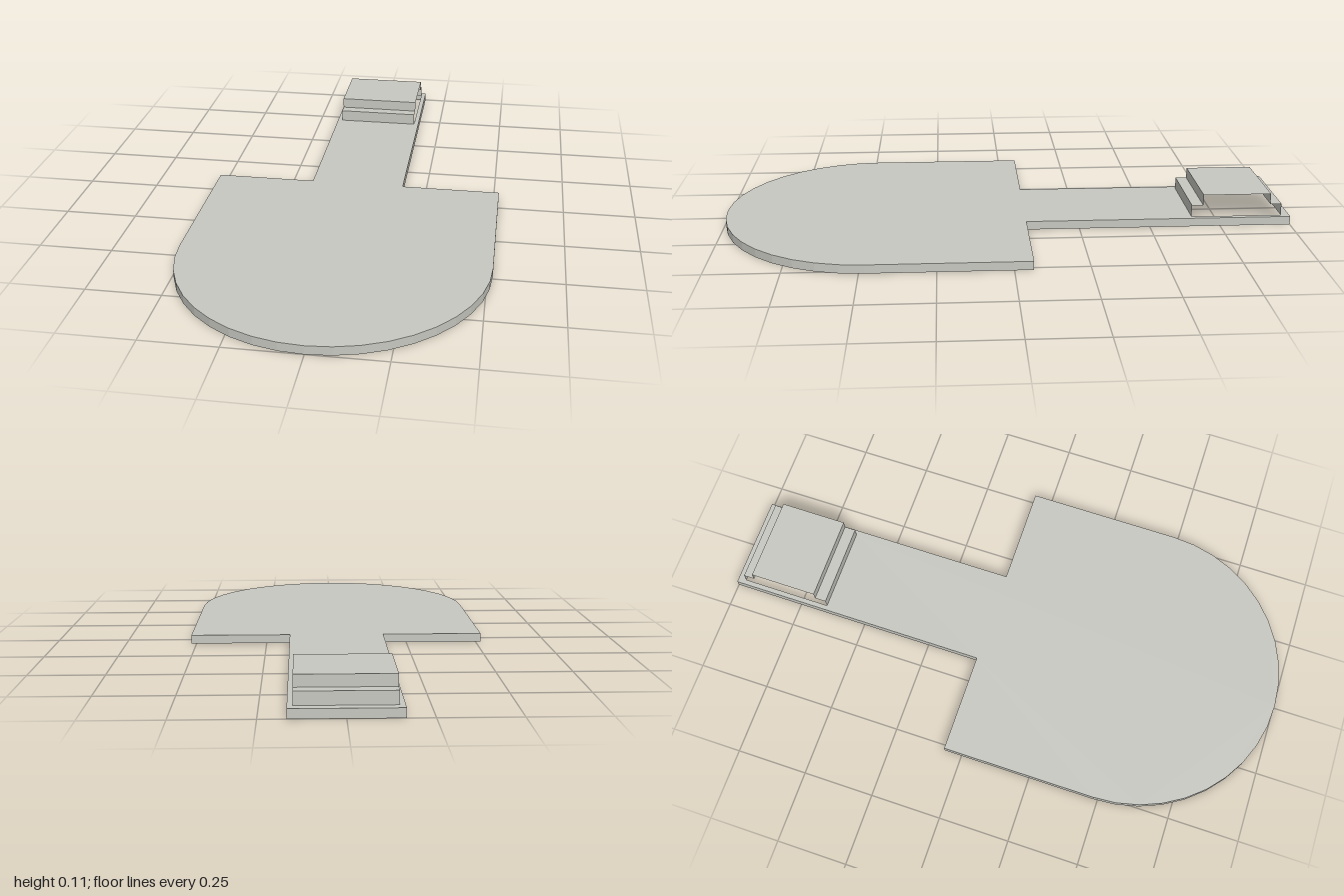
import * as THREE from 'three';

const HEIGHT = 0.03, HALF_BODY = 0.518, HALF_NECK = 0.167, HALF_BRIDGE = 0.15;
const SHOULDER_Z = -0.063, ARC_Z = 1 - HALF_BODY;

// Open surface swept between two matching rows of points
function ribbon(rowA, rowB) {
  const positions = [];
  for (let i = 0; i < rowA.length - 1; i++) {
    const [a, b, c, d] = [rowA[i], rowA[i + 1], rowB[i + 1], rowB[i]];
    positions.push(...a, ...b, ...c, ...a, ...c, ...d);
  }
  const geometry = new THREE.BufferGeometry();
  geometry.setAttribute('position', new THREE.Float32BufferAttribute(positions, 3));
  geometry.computeVertexNormals();
  return geometry;
}

export function createModel() {
  const group = new THREE.Group();
  const grey = new THREE.MeshStandardMaterial({ color: 0xc8c8c2, side: THREE.DoubleSide, flatShading: true });
  grey.name = 'warm grey';
  const add = (name, geometry) => {
    const mesh = new THREE.Mesh(geometry, grey);
    mesh.name = name;
    group.add(mesh);
  };

  // Outline as [x, z]: neck, shoulders and rounded front
  const outline = [[HALF_NECK, SHOULDER_Z], [HALF_NECK, -1], [-HALF_NECK, -1],
    [-HALF_NECK, SHOULDER_Z], [-HALF_BODY, SHOULDER_Z]];
  const segments = 20;
  for (let i = 0; i <= segments; i++) {
    const t = Math.PI * (1 - i / segments);
    outline.push([HALF_BODY * Math.cos(t), ARC_Z + HALF_BODY * Math.sin(t)]);
  }
  outline.push([HALF_BODY, SHOULDER_Z]);

  // Top plate with an opening under the bridge
  const shape = new THREE.Shape(outline.map(([x, z]) => new THREE.Vector2(x, -z)));
  const opening = [[-1, 0.65], [1, 0.65], [1, 0.97], [-1, 0.97]];
  shape.holes.push(new THREE.Path(opening.map(([s, y]) => new THREE.Vector2(s * HALF_BRIDGE, y))));
  add('topPlate', new THREE.ShapeGeometry(shape).rotateX(-Math.PI / 2).translate(0, HEIGHT, 0));

  // Thin wall around the rim, open underneath
  const loop = [...outline, outline[0]];
  add('rimWall', ribbon(loop.map(([x, z]) => [x, 0, z]), loop.map(([x, z]) => [x, HEIGHT, z])));

  // Stepped bridge, open at both sides
  const steps = [[HEIGHT, -0.65], [0.072, -0.65], [0.072, -0.69], [0.11, -0.69],
    [0.11, -0.93], [0.072, -0.93], [0.072, -0.97], [HEIGHT, -0.97]];
  add('steppedBridge', ribbon(steps.map(([y, z]) => [-HALF_BRIDGE, y, z]),
    steps.map(([y, z]) => [HALF_BRIDGE, y, z])).scale(1, 1, 1));

  // Turn the bridge and rim faces outward
  for (const name of ['rimWall', 'steppedBridge']) {
    const geometry = group.getObjectByName(name).geometry;
    const p = geometry.attributes.position, n = geometry.attributes.normal;
    const outward = name === 'rimWall' ? -n.getZ(6) : n.getY(6);
    if (outward > 0) continue;
    for (let i = 0; i < p.count; i += 3) {
      const b = new THREE.Vector3().fromBufferAttribute(p, i + 1);
      const c = new THREE.Vector3().fromBufferAttribute(p, i + 2);
      p.setXYZ(i + 1, c.x, c.y, c.z);
      p.setXYZ(i + 2, b.x, b.y, b.z);
    }
    geometry.computeVertexNormals();
  }
  return group;
}
